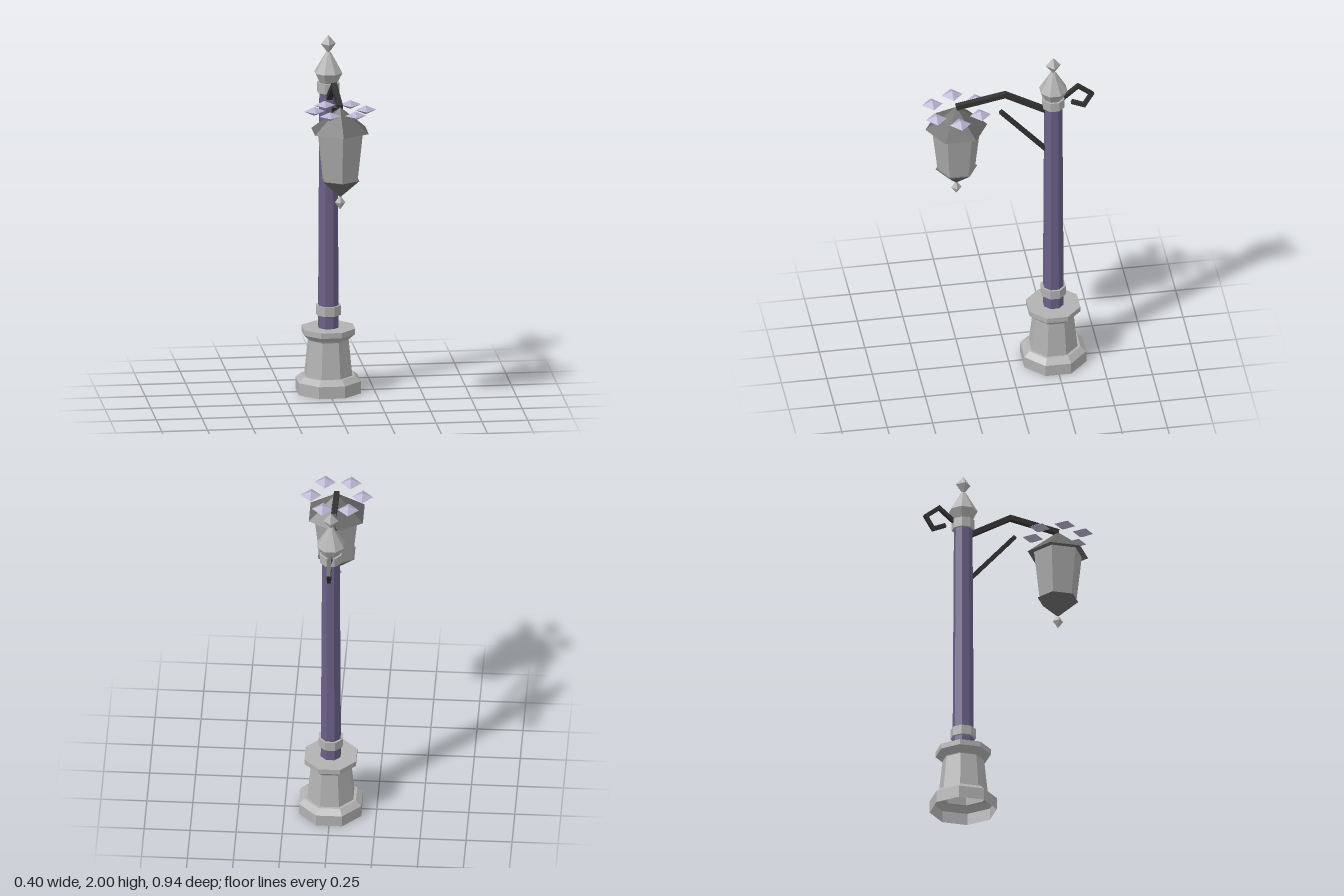
import * as THREE from 'three';

const POLE_Z = -0.245, LAMP_Z = 0.288;

function material(name, color, side = THREE.FrontSide) {
  const m = new THREE.MeshStandardMaterial({ color, flatShading: true, side });
  m.name = name;
  return m;
}

// Faceted solid of revolution; profile is [apothem or radius, y] from bottom to top.
function turned(name, mat, profile, sides, z, flatsOnAxes = false) {
  const k = flatsOnAxes ? 1 / Math.cos(Math.PI / sides) : 1;
  const pts = profile.map(([r, y]) => new THREE.Vector2(r * k, y));
  const geo = new THREE.LatheGeometry(pts, sides, flatsOnAxes ? Math.PI / sides : 0);
  const mesh = new THREE.Mesh(geo, mat);
  mesh.name = name;
  mesh.position.z = z;
  return mesh;
}

// Mitred flat bar following a path of [z, y] points, extruded across x.
function bar(name, mat, path, thickness, width) {
  const p = path.map(([z, y]) => new THREE.Vector2(z, y));
  const normal = (a, b) => new THREE.Vector2(a.y - b.y, b.x - a.x).normalize();
  const offsets = p.map((q, i) => {
    const n1 = normal(p[Math.max(i - 1, 0)], p[Math.max(i, 1)]);
    const last = p.length - 1;
    const n2 = normal(p[Math.min(i, last - 1)], p[Math.min(i + 1, last)]);
    const m = n1.clone().add(n2).normalize();
    return m.multiplyScalar(thickness / 2 / m.dot(n1));
  });
  const left = p.map((q, i) => q.clone().add(offsets[i]));
  const right = p.map((q, i) => q.clone().sub(offsets[i])).reverse();
  const geo = new THREE.ExtrudeGeometry(new THREE.Shape([...left, ...right]),
    { depth: width, bevelEnabled: false });
  geo.translate(0, 0, -width / 2).rotateY(-Math.PI / 2);
  const mesh = new THREE.Mesh(geo, mat);
  mesh.name = name;
  return mesh;
}

export function createModel() {
  const group = new THREE.Group();
  group.name = 'streetLamp';

  const stone = material('stone', 0xb2b2b2, THREE.DoubleSide);
  const purple = material('polePurple', 0x6b6088);
  const iron = material('blackIron', 0x333333);
  const roofGrey = material('darkGrey', 0x6a6a6a, THREE.DoubleSide);
  const glass = material('lanternGlass', 0xa8a8a8);
  const lavender = material('lavender', 0xb6b0cd);

  // Octagonal post: open-bottomed base, shaft and collars
  group.add(
    turned('base', stone, [[0.17, 0], [0.17, 0.067], [0.14, 0.095], [0.125, 0.095],
      [0.106, 0.295], [0.108, 0.3], [0.14, 0.33], [0.14, 0.36], [0, 0.36]], 8, POLE_Z, true),
    turned('pole', purple, [[0.054, 0.35], [0.047, 1.7]], 8, POLE_Z, true),
    turned('lowerCollar', stone,
      [[0.04, 0.432], [0.065, 0.432], [0.065, 0.485], [0.04, 0.485]], 8, POLE_Z, true),
    turned('upperCollar', stone,
      [[0.04, 1.68], [0.058, 1.68], [0.058, 1.735], [0, 1.735]], 8, POLE_Z, true),
    turned('finial', stone,
      [[0.045, 1.73], [0.073, 1.79], [0.012, 1.905], [0, 1.905]], 8, POLE_Z, true),
    turned('finialTip', stone, [[0, 1.895], [0.041, 1.95], [0, 2]], 4, POLE_Z),
  );

  // Iron arm, strut and back hook
  group.add(
    bar('arm', iron, [[-0.215, 1.652], [0.02, 1.785], [0.29, 1.733]], 0.028, 0.03),
    bar('strut', iron, [[-0.21, 1.39], [0.045, 1.675]], 0.022, 0.024),
    bar('backHook', iron, [[-0.285, 1.715], [-0.381, 1.797], [-0.456, 1.738],
      [-0.414, 1.668], [-0.346, 1.697]], 0.02, 0.022),
  );

  // Hexagonal lantern
  group.add(
    turned('lanternRoof', roofGrey, [[0, 1.6], [0.17, 1.6], [0, 1.735]], 6, LAMP_Z),
    turned('lanternGlass', glass, [[0.103, 1.325], [0.135, 1.605]], 6, LAMP_Z),
    turned('lanternCup', roofGrey, [[0, 1.228], [0.114, 1.33], [0, 1.33]], 6, LAMP_Z),
    turned('lanternDrop', stone, [[0, 1.16], [0.029, 1.2], [0, 1.24]], 4, LAMP_Z),
  );

  // Ring of flat crystals floating around the roof
  for (let i = 0; i < 6; i++) {
    const a = i * Math.PI / 3;
    const crystal = turned('crystal' + (i + 1), lavender,
      [[0, 1.69], [0.058, 1.715], [0, 1.74]], 4, LAMP_Z + 0.14 * Math.sin(a));
    crystal.position.x = 0.14 * Math.cos(a);
    group.add(crystal);
  }
  return group;
}
